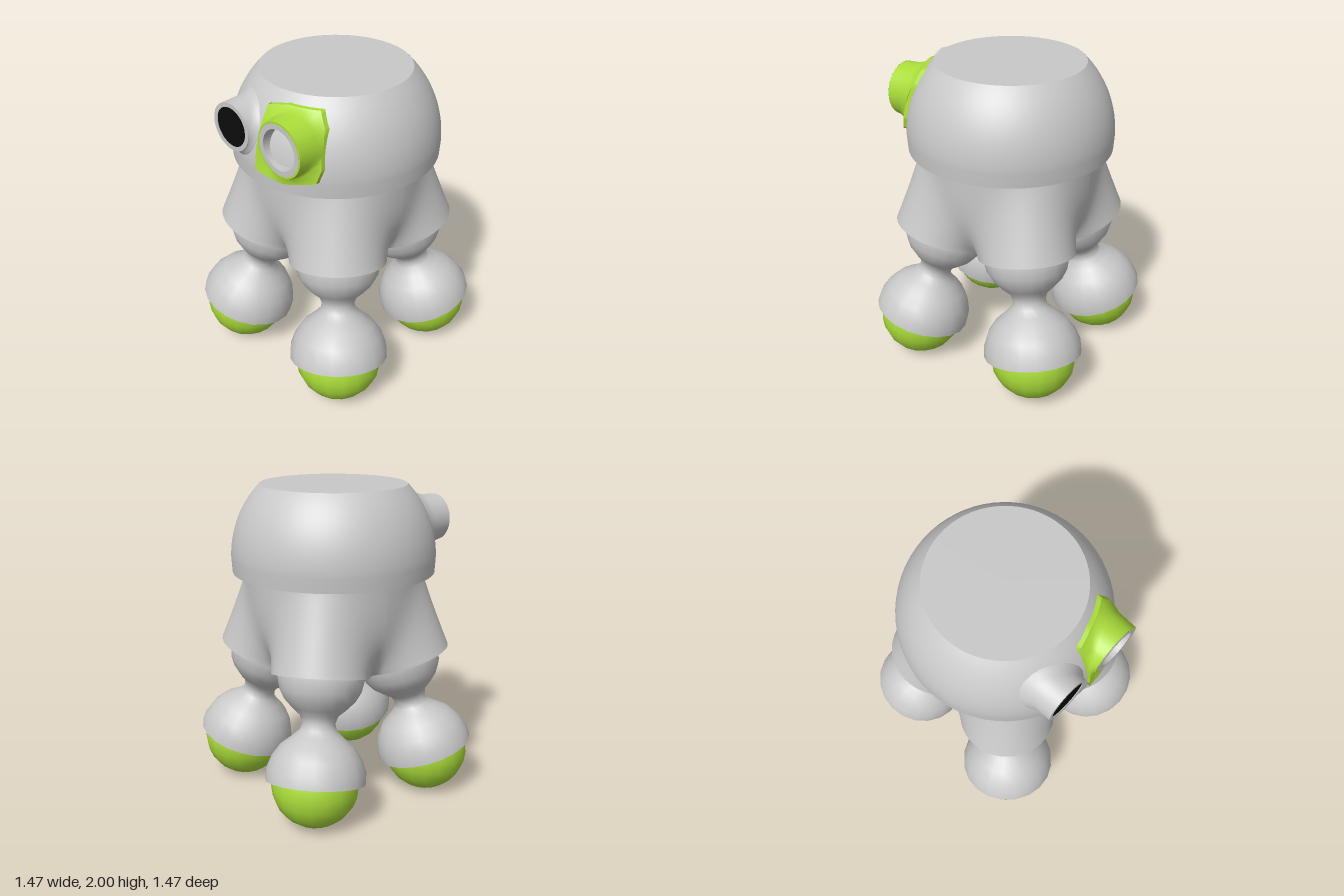
import * as THREE from 'three';

const grey = new THREE.MeshStandardMaterial({ name: 'light grey', color: 0xc8c8c8, side: THREE.DoubleSide });
const green = new THREE.MeshStandardMaterial({ name: 'lime green', color: 0xaadc3a, side: THREE.DoubleSide });
const black = new THREE.MeshStandardMaterial({ name: 'black', color: 0x0c0c0c });

const V2 = (x, y) => new THREE.Vector2(x, y);
const V3 = (x, y, z) => new THREE.Vector3(x, y, z);
const rad = THREE.MathUtils.degToRad;

function add(parent, name, geometry, material, x = 0, y = 0, z = 0) {
  const mesh = new THREE.Mesh(geometry, material);
  mesh.name = name;
  mesh.position.set(x, y, z);
  parent.add(mesh);
  return mesh;
}

// Skin between closed loops that all have the same number of points
function loft(loops) {
  const n = loops[0].length, index = [];
  for (let i = 0; i < loops.length - 1; i++) {
    for (let j = 0; j < n; j++) {
      const a = i * n + j, b = i * n + (j + 1) % n;
      index.push(a, b, a + n, b, b + n, a + n);
    }
  }
  const g = new THREE.BufferGeometry().setFromPoints(loops.flat());
  g.setIndex(index);
  g.computeVertexNormals();
  return g;
}

const downRing = (inner, outer, n) => new THREE.RingGeometry(inner, outer, n).rotateX(Math.PI / 2);

// Head: truncated sphere with a short straight skirt
const HEAD_Y = 1.55, HEAD_R = 0.64, HEAD_BOTTOM = 1.465;
function headZ(x, y, offset = 0) {
  const r = HEAD_R + offset, h = Math.max(0, y - HEAD_Y);
  return Math.sqrt(Math.max(0, r * r - x * x - h * h));
}

function buildHead(group) {
  const profile = [V2(0.635, HEAD_BOTTOM)];
  const end = Math.asin(0.45 / HEAD_R);
  for (let i = 0; i <= 14; i++) {
    const a = end * i / 14;
    profile.push(V2(HEAD_R * Math.cos(a), HEAD_Y + HEAD_R * Math.sin(a)));
  }
  add(group, 'headDome', new THREE.LatheGeometry(profile, 64), grey);
  add(group, 'headTop', new THREE.CircleGeometry(HEAD_R * Math.cos(end), 64).rotateX(-Math.PI / 2), grey, 0, 2, 0);
  add(group, 'headUnderside', downRing(0.5, 0.635, 64), grey, 0, HEAD_BOTTOM, 0);
}

// Leg sockets: tilted circles on the diagonals
const SOCKET = V3(0.31, 0.9, 0.31), SOCKET_R = 0.3, TILT = 0.22, SWEEP = 115;
function socketPoint(quarter, deg) {
  const a = rad(45 + deg);
  const dx = SOCKET_R * Math.cos(a), dz = SOCKET_R * Math.sin(a);
  // the positive quarter is turned about y so that loops run counterclockwise from above
  return V3(SOCKET.x + dx, SOCKET.y + TILT * (dx + dz), -(SOCKET.z + dz))
    .applyAxisAngle(V3(0, 1, 0), quarter * Math.PI / 2);
}

function buildBody(group) {
  const rows = 16, steps = 26, loops = [];
  for (let i = 0; i <= rows; i++) {
    const t = i / rows, loop = [];
    for (let q = 0; q < 4; q++) {
      for (let j = 0; j <= steps; j++) {
        const f = 2 * j / steps - 1;
        const low = socketPoint(q, f * SWEEP);
        const a = rad(45 + f * 44.5 + q * 90);
        const w = Math.pow(1 - t, 1.1 + 2.2 * f * f);
        loop.push(V3(
          THREE.MathUtils.lerp(0.555 * Math.cos(a), low.x, w),
          THREE.MathUtils.lerp(low.y, HEAD_BOTTOM + 0.01, t),
          THREE.MathUtils.lerp(-0.555 * Math.sin(a), low.z, w)));
      }
    }
    loops.push(loop);
  }
  add(group, 'body', loft(loops), grey);

  // Web under the body, between the sockets
  const edge = [];
  for (let q = 0; q < 4; q++) {
    for (let j = 0; j <= 14; j++) edge.push(socketPoint(q, -SWEEP - (360 - 2 * SWEEP) * j / 14));
  }
  add(group, 'bodyUnderside', loft([edge.map(() => V3(0, 0.815, 0)), edge]), grey);
}

// Leg: ball joint, waist and bell-shaped shell over a round foot
function buildLeg(sx, sz) {
  const leg = new THREE.Group();
  leg.name = (sz > 0 ? 'front' : 'back') + (sx > 0 ? 'Left' : 'Right') + 'Leg';
  const axis = V3(-TILT * sx, 1, -TILT * sz).normalize();
  const turn = new THREE.Quaternion().setFromUnitVectors(V3(0, 1, 0), axis);

  const lower = new THREE.Group();
  lower.name = 'lowerLeg';
  lower.position.set(0.433 * sx, 0.28, 0.433 * sz);
  lower.quaternion.copy(turn);
  const profile = [[0.308, 0], [0.305, 0.07], [0.275, 0.15], [0.225, 0.22], [0.155, 0.275], [0.112, 0.315],
    [0.102, 0.355], [0.118, 0.4], [0.165, 0.44], [0.215, 0.49], [0.25, 0.55], [0.268, 0.63], [0.262, 0.7], [0.2, 0.8]];
  add(lower, 'legShell', new THREE.LatheGeometry(profile.map(p => V2(...p)), 20), grey);
  add(lower, 'shellRim', downRing(0.255, 0.308, 20), grey);
  leg.add(lower);

  add(leg, 'foot', new THREE.SphereGeometry(0.27, 18, 12), green, 0.437 * sx, 0.27, 0.437 * sz);
  const rim = add(leg, 'socketRim', downRing(0.25, SOCKET_R, 32), grey, SOCKET.x * sx, SOCKET.y, SOCKET.z * sz);
  rim.quaternion.copy(turn);
  return leg;
}

// Eyes: short tubes standing out from the head
const EYE_Y = 1.757, EYE_FRONT = 0.653;
function buildEyes(group) {
  const onHead = (x, y, off) => V3(x, y, Math.min(headZ(x, y, off), EYE_FRONT - 0.01));
  const circle = (cx, r, angles, off) => angles.map(a => {
    const x = cx + r * Math.cos(a), y = EYE_Y + r * Math.sin(a);
    return off === undefined ? V3(x, y, EYE_FRONT) : onHead(x, y, off);
  });

  // Right eye: plain flared tube with a dark lens
  const right = new THREE.Group();
  right.name = 'rightEye';
  const even = Array.from({ length: 40 }, (_, i) => i * Math.PI / 20);
  add(right, 'eyeTube', loft([circle(-0.2, 0.19, even, -0.01), circle(-0.2, 0.165, even, 0.01),
    circle(-0.2, 0.15, even, 0.04), circle(-0.2, 0.147, even)]), grey);
  add(right, 'eyeRim', new THREE.RingGeometry(0.12, 0.147, 40), grey, -0.2, EYE_Y, EYE_FRONT);
  add(right, 'lens', new THREE.CircleGeometry(0.124, 40), black, -0.2, EYE_Y, EYE_FRONT - 0.007);
  group.add(right);

  // Left eye: green plate fitted to the head, blending into a tube
  const left = new THREE.Group();
  left.name = 'leftEye';
  const corners = [[0.37, 1.57], [0.39, 1.65], [0.36, 1.86], [0.3, 1.95],
    [0.12, 1.955], [0, 1.93], [0, 1.565], [0.2, 1.535]];
  const outline = corners.flatMap(([x, y], i) => {
    const [x2, y2] = corners[(i + 1) % corners.length];
    return Array.from({ length: 6 }, (_, k) => [x + (x2 - x) * k / 6, y + (y2 - y) * k / 6]);
  });
  const cx = 0.196;
  const angles = outline.map(([x, y]) => Math.atan2(y - EYE_Y, x - cx));
  const plate = off => outline.map(([x, y]) => V3(x, y, headZ(x, y, off)));
  add(left, 'plateEdge', loft([plate(-0.02), plate(0.02)]), green);
  add(left, 'plateAndTube', loft([plate(0.02), circle(cx, 0.185, angles, 0.025),
    circle(cx, 0.17, angles, 0.05), circle(cx, 0.165, angles)]), green);
  add(left, 'tubeRim', new THREE.RingGeometry(0.153, 0.166, 40), green, cx, EYE_Y, EYE_FRONT);
  add(left, 'innerRim', new THREE.RingGeometry(0.123, 0.154, 40), grey, cx, EYE_Y, EYE_FRONT + 0.002);
  add(left, 'innerTube', new THREE.CylinderGeometry(0.123, 0.123, 0.17, 40, 1, true).rotateX(Math.PI / 2),
    grey, cx, EYE_Y, EYE_FRONT - 0.083);
  group.add(left);
}

export function createModel() {
  const model = new THREE.Group();
  model.name = 'fourLeggedRobot';
  buildHead(model);
  buildBody(model);
  for (const sx of [1, -1]) for (const sz of [1, -1]) model.add(buildLeg(sx, sz));
  buildEyes(model);
  return model;
}
